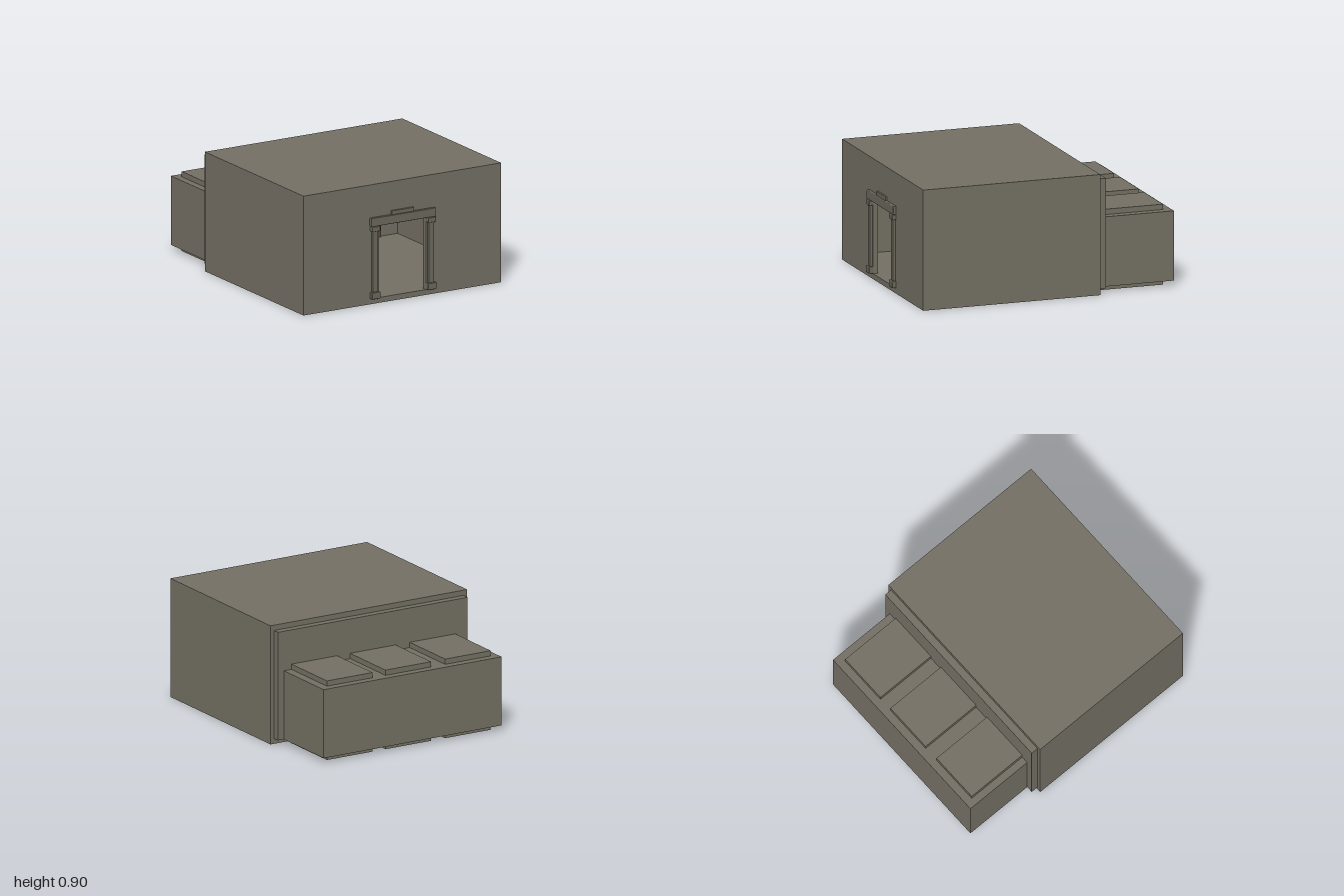
import * as THREE from 'three';
import { RoundedBoxGeometry } from 'three/addons/geometries/RoundedBoxGeometry.js';

export function createModel() {
  const model = new THREE.Group();
  model.name = 'stoneHallWithCells';

  const mat = (name, color) => {
    const m = new THREE.MeshStandardMaterial({ color });
    m.name = name;
    return m;
  };
  const stone = mat('wall stone', 0x736f63);
  const trim = mat('carved stone', 0x6b685b);
  const wood = mat('door wood', 0x6a4a33);
  const darkWood = mat('dark door wood', 0x50382a);
  const iron = mat('iron', 0x6d6a62);

  // Box given by its limits; a bevel rounds the edges
  function box(parent, name, material, x, y, z, bevel = 0) {
    const w = x[1] - x[0], h = y[1] - y[0], d = z[1] - z[0];
    const geo = bevel
      ? new RoundedBoxGeometry(w, h, d, 1, bevel)
      : new THREE.BoxGeometry(w, h, d);
    const mesh = new THREE.Mesh(geo, material);
    mesh.position.set((x[0] + x[1]) / 2, (y[0] + y[1]) / 2, (z[0] + z[1]) / 2);
    mesh.name = name;
    parent.add(mesh);
    return mesh;
  }

  // Hollow main hall
  const hall = new THREE.Group();
  hall.name = 'hall';
  model.add(hall);
  box(hall, 'floor', stone, [-0.84, 0.84], [0, 0.04], [-0.4, 0.97]);
  box(hall, 'ceiling', stone, [-0.84, 0.84], [0.86, 0.9], [-0.4, 0.97]);
  box(hall, 'leftWall', stone, [0.8, 0.84], [0.04, 0.86], [-0.4, 0.97]);
  box(hall, 'rightWall', stone, [-0.84, -0.8], [0.04, 0.86], [-0.4, 0.97]);
  box(hall, 'backWall', stone, [-0.81, 0.81], [0.04, 0.86], [-0.455, -0.4]);

  // Front wall with the entrance cut out
  const wall = new THREE.Shape();
  wall.moveTo(-0.8, 0.04);
  wall.lineTo(-0.2, 0.04);
  wall.lineTo(-0.2, 0.585);
  wall.lineTo(0.2, 0.585);
  wall.lineTo(0.2, 0.04);
  wall.lineTo(0.8, 0.04);
  wall.lineTo(0.8, 0.86);
  wall.lineTo(-0.8, 0.86);
  const frontWall = new THREE.Mesh(
    new THREE.ExtrudeGeometry(wall, { depth: 0.04, bevelEnabled: false }), stone);
  frontWall.position.z = 0.93;
  frontWall.name = 'frontWall';
  hall.add(frontWall);

  // Cell block behind the hall, with three floor and roof slabs
  const cells = new THREE.Group();
  cells.name = 'cellBlock';
  model.add(cells);
  box(cells, 'cellWalls', stone, [-0.76, 0.76], [0.04, 0.56], [-1, -0.455]);
  for (const cx of [-0.51, 0, 0.5]) {
    box(cells, 'cellRoof', stone, [cx - 0.195, cx + 0.195], [0.56, 0.6], [-0.94, -0.455]);
    box(cells, 'cellFloor', stone, [cx - 0.195, cx + 0.195], [0, 0.04], [-0.94, -0.455]);
  }

  // Entrance portal
  const portal = new THREE.Group();
  portal.name = 'portal';
  model.add(portal);
  for (const s of [-1, 1]) {
    const span = (half) => [s * 0.238 - half, s * 0.238 + half];
    box(portal, 'pillarBase', trim, span(0.037), [0.04, 0.092], [0.95, 1], 0.006);
    box(portal, 'pillarShaft', trim, span(0.024), [0.09, 0.55], [0.955, 0.989], 0.005);
    box(portal, 'pillarCapital', trim, span(0.035), [0.548, 0.587], [0.95, 1], 0.006);
  }
  box(portal, 'portalBeam', trim, [-0.277, 0.273], [0.586, 0.652], [0.95, 0.992], 0.006);
  box(portal, 'portalCrown', trim, [-0.097, 0.093], [0.65, 0.682], [0.95, 0.985], 0.005);

  // Plank door on the hall walls, facing its own +z
  function addDoor(name, x, z, turn) {
    const door = new THREE.Group();
    door.name = name;
    door.position.set(x, 0.04, z);
    door.rotation.y = turn;
    box(door, 'doorBacking', darkWood, [-0.153, 0.15], [0, 0.45], [0, 0.012]);
    const pitch = 0.303 / 7;
    for (let i = 0; i < 7; i++) {
      const left = -0.153 + i * pitch;
      box(door, 'plank', wood, [left + 0.002, left + pitch - 0.002], [0, 0.45], [0.005, 0.02]);
    }
    box(door, 'topRail', wood, [-0.153, 0.15], [0.45, 0.485], [0, 0.024]);
    box(door, 'lintel', trim, [-0.165, 0.163], [0.485, 0.51], [0, 0.035], 0.004);
    for (const y of [0.09, 0.36]) {
      box(door, 'hingeStrap', iron, [-0.115, 0.04], [y - 0.009, y + 0.009], [0.018, 0.027], 0.003);
    }
    box(door, 'lockPlate', iron, [0.066, 0.092], [0.212, 0.232], [0.018, 0.027], 0.003);
    const ring = new THREE.Mesh(new THREE.TorusGeometry(0.01, 0.003, 6, 12), iron);
    ring.position.set(0.08, 0.214, 0.029);
    ring.name = 'doorRing';
    door.add(ring);
    model.add(door);
  }
  for (const x of [-0.5, 0, 0.5]) addDoor('cellDoor', x, -0.4, 0);
  addDoor('rightSideDoor', -0.8, 0.19, Math.PI / 2);
  addDoor('leftSideDoor', 0.8, 0.19, -Math.PI / 2);

  return model;
}
